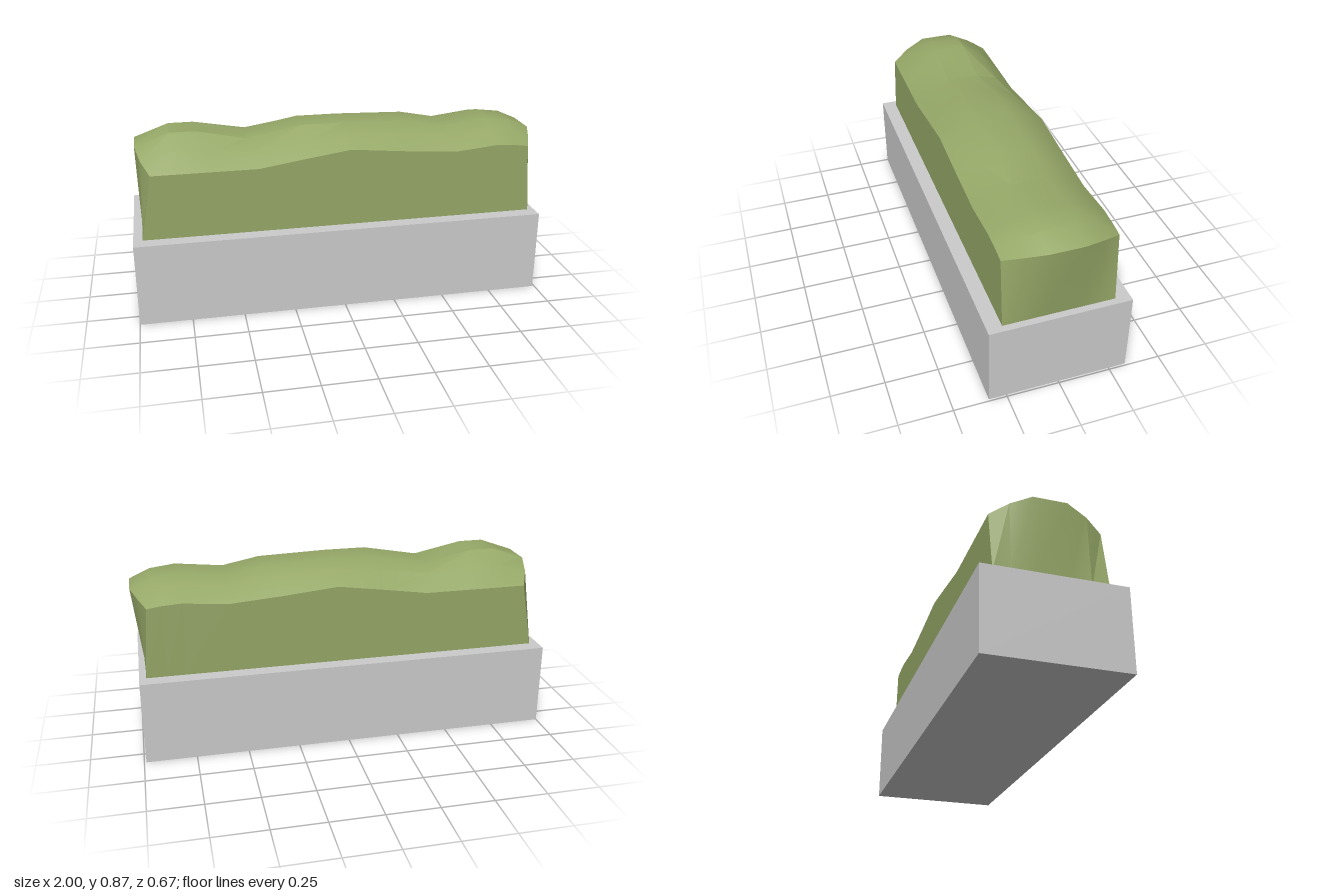
import * as THREE from 'three';
import { toCreasedNormals } from 'three/addons/utils/BufferGeometryUtils.js';

const BASE_TOP = 0.405;
const HALF_DEPTH = 0.263;

// Hedge sections along x: shoulder x, y / slope x, y / crown x, y / rear slope y
const SECTIONS = [
  [-0.90, 0.72, -0.94, 0.765, -0.965, 0.805, 0.765],
  [-0.80, 0.72, -0.80, 0.80, -0.80, 0.865, 0.81],
  [-0.62, 0.72, -0.64, 0.79, -0.68, 0.865, 0.81],
  [-0.40, 0.72, -0.42, 0.775, -0.44, 0.815, 0.79],
  [-0.17, 0.755, -0.17, 0.815, -0.17, 0.865, 0.83],
  [0.04, 0.785, 0.04, 0.83, 0.04, 0.865, 0.835],
  [0.30, 0.76, 0.32, 0.82, 0.37, 0.855, 0.825],
  [0.56, 0.74, 0.56, 0.785, 0.55, 0.82, 0.79],
  [0.77, 0.76, 0.77, 0.81, 0.78, 0.845, 0.815],
  [0.86, 0.755, 0.88, 0.795, 0.90, 0.83, 0.80],
  [0.93, 0.745, 0.965, 0.765, 1.0, 0.785, 0.765],
];

// Points over one section, from the front shoulder to the rear shoulder
function sectionPoints([sx, sy, mx, my, cx, cy, ry]) {
  return [
    [sx, sy, HALF_DEPTH], [mx, my, 0.18], [cx, cy, 0.08],
    [cx, cy, -0.08], [mx, ry, -0.18], [sx, sy, -HALF_DEPTH],
  ];
}

function hedgeGeometry() {
  const pos = [];
  const quad = (a, b, c, d) => pos.push(...a, ...b, ...c, ...a, ...c, ...d);
  const last = SECTIONS.length - 1;
  const tops = SECTIONS.map(sectionPoints);
  // Foot of each column; both ends stand on a straight line
  const feet = tops.map((row, i) => row.map(([x, , z]) =>
    [i === 0 ? -0.957 : i === last ? 0.957 : x, BASE_TOP, z]));

  for (let i = 0; i < last; i++) {
    // Clipped top
    for (let j = 0; j < 5; j++) quad(tops[i][j], tops[i + 1][j], tops[i + 1][j + 1], tops[i][j + 1]);
    // Front and rear walls
    quad(feet[i][0], feet[i + 1][0], tops[i + 1][0], tops[i][0]);
    quad(feet[i + 1][5], feet[i][5], tops[i][5], tops[i + 1][5]);
  }
  // End walls
  for (let j = 0; j < 5; j++) {
    quad(feet[last][j], feet[last][j + 1], tops[last][j + 1], tops[last][j]);
    quad(feet[0][j + 1], feet[0][j], tops[0][j], tops[0][j + 1]);
  }
  const geometry = new THREE.BufferGeometry();
  geometry.setAttribute('position', new THREE.Float32BufferAttribute(pos, 3));
  return toCreasedNormals(geometry, 0.45);
}

export function createModel() {
  const group = new THREE.Group();
  group.name = 'planterHedge';

  // Stone planter
  const planter = new THREE.Mesh(
    new THREE.BoxGeometry(1.99, BASE_TOP, 0.666),
    new THREE.MeshStandardMaterial({ color: 0xcccccc }));
  planter.name = 'planter';
  planter.position.set(-0.005, BASE_TOP / 2, 0);
  group.add(planter);

  // Trimmed hedge
  const hedge = new THREE.Mesh(hedgeGeometry(), new THREE.MeshStandardMaterial({ color: 0x96a868 }));
  hedge.name = 'hedge';
  group.add(hedge);

  return group;
}
